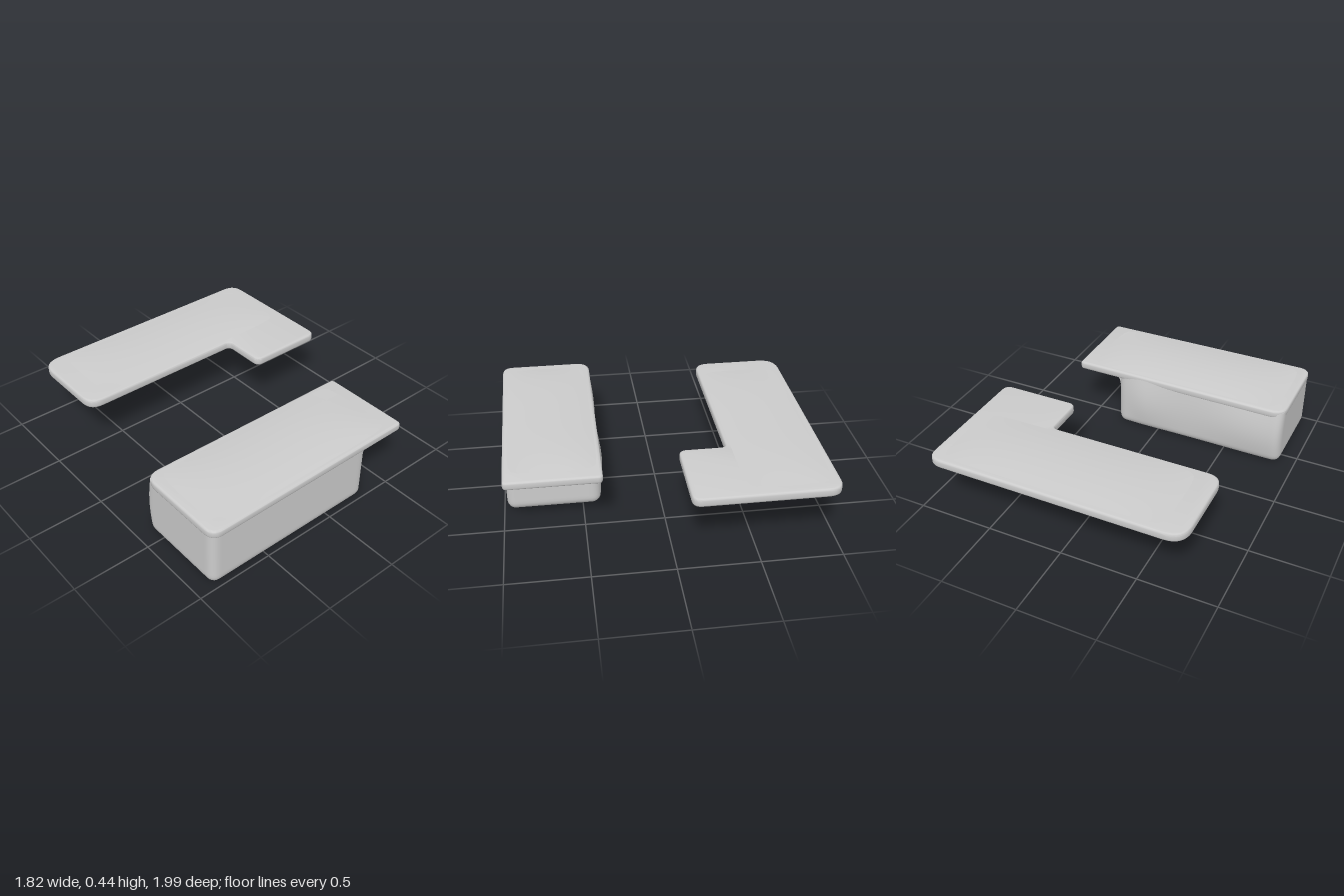
import * as THREE from 'three';
import { mergeVertices, toCreasedNormals } from 'three/addons/utils/BufferGeometryUtils.js';

const material = new THREE.MeshStandardMaterial({ color: 0xcccccc });

function addMesh(parent, geometry, name) {
  const mesh = new THREE.Mesh(geometry, material);
  mesh.name = name;
  parent.add(mesh);
}

// Closed outline from [x, y, cornerRadius] points
function roundedOutline(points) {
  const shape = new THREE.Shape();
  const n = points.length;
  points.forEach(([x, y, r], i) => {
    const p = new THREE.Vector2(x, y);
    const toward = ([tx, ty]) => new THREE.Vector2(tx, ty).sub(p).setLength(r).add(p);
    const a = toward(points[(i + n - 1) % n]);
    const b = toward(points[(i + 1) % n]);
    if (i === 0) shape.moveTo(a.x, a.y);
    else shape.lineTo(a.x, a.y);
    shape.quadraticCurveTo(x, y, b.x, b.y);
  });
  shape.closePath();
  return shape;
}

// Horizontal slab with softened edges; outline given as [x, z, cornerRadius]
function slab(points, bottom, top) {
  const bevel = 0.014;
  const geometry = new THREE.ExtrudeGeometry(roundedOutline(points.map(([x, z, r]) => [x, -z, r])), {
    depth: top - bottom - 2 * bevel, curveSegments: 8,
    bevelSize: bevel, bevelOffset: -bevel, bevelThickness: bevel, bevelSegments: 3,
  });
  geometry.rotateX(-Math.PI / 2).translate(0, bottom + bevel, 0);
  return toCreasedNormals(geometry, 0.7);
}

// Gentle swell lying on a slab
function crown(x0, x1, z0, z1, base, height) {
  const geometry = new THREE.PlaneGeometry(x1 - x0, z1 - z0, 32, 16).rotateX(-Math.PI / 2);
  const p = geometry.attributes.position;
  for (let i = 0; i < p.count; i++) {
    const u = (2 * p.getX(i)) / (x1 - x0);
    const v = (2 * p.getZ(i)) / (z1 - z0);
    p.setY(i, height * (1 - u ** 4) * (1 - v * v));
  }
  geometry.translate((x0 + x1) / 2, base, (z0 + z1) / 2);
  geometry.computeVertexNormals();
  return geometry;
}

// Block rounded below and at its upright edges, with a bulging back wall
function blockGeometry() {
  const min = new THREE.Vector3(-0.9, 0.01, 0.385);
  const max = new THREE.Vector3(0.3, 0.41, 0.98);
  const size = max.clone().sub(min);
  const r = 0.055;
  let geometry = new THREE.BoxGeometry(size.x, size.y, size.z, 60, 22, 32);
  geometry.translate(...min.clone().add(max).multiplyScalar(0.5).toArray());
  geometry.deleteAttribute('normal');
  geometry.deleteAttribute('uv');
  geometry = mergeVertices(geometry);
  const low = min.clone().addScalar(r);
  const high = max.clone().addScalar(-r).setY(max.y);
  const p = geometry.attributes.position;
  const v = new THREE.Vector3();
  const core = new THREE.Vector3();
  for (let i = 0; i < p.count; i++) {
    v.fromBufferAttribute(p, i);
    core.copy(v).clamp(low, high);
    const offset = v.clone().sub(core);
    if (offset.lengthSq() > 0) v.copy(core).add(offset.setLength(r));
    const back = THREE.MathUtils.clamp((0.6 - v.z) / 0.2, 0, 1);
    const wave = 0.75 + 0.25 * Math.cos((v.x + 0.72) * 6.5);
    v.z -= 0.032 * back * wave * Math.sin((Math.PI * v.y) / 0.43) * THREE.MathUtils.smoothstep(0.32 - v.x, 0, 0.25);
    p.setXYZ(i, v.x, v.y, v.z);
  }
  geometry.computeVertexNormals();
  return toCreasedNormals(geometry, 0.9);
}

// Concave strip between the block and its overhanging top
function filletGeometry() {
  const shape = new THREE.Shape();
  shape.moveTo(0.28, 0.4);
  shape.lineTo(0.28, 0.31);
  shape.lineTo(0.299, 0.31);
  shape.quadraticCurveTo(0.302, 0.38, 0.37, 0.382);
  shape.lineTo(0.37, 0.4);
  shape.closePath();
  const geometry = new THREE.ExtrudeGeometry(shape, { depth: 0.53, bevelEnabled: false, curveSegments: 10 });
  geometry.translate(0, 0, 0.42);
  return toCreasedNormals(geometry, 0.7);
}

export function createModel() {
  const model = new THREE.Group();
  model.name = 'counterSet';

  // Front counter: solid block under an overhanging top
  const counter = new THREE.Group();
  counter.name = 'frontCounter';
  addMesh(counter, blockGeometry(), 'counterBlock');
  addMesh(counter, filletGeometry(), 'overhangFillet');
  addMesh(counter, slab([
    [-0.905, 0.99, 0.08], [0.6, 0.98, 0.03], [0.6, 0.385, 0.03], [-0.905, 0.37, 0.1],
  ], 0.375, 0.428), 'counterTop');
  addMesh(counter, crown(-0.85, 0.52, 0.4, 0.96, 0.427, 0.022), 'counterTopSwell');
  model.add(counter);

  // Rear L-shaped top
  const rear = new THREE.Group();
  rear.name = 'rearTop';
  addMesh(rear, slab([
    [-0.78, -0.4, 0.1], [0.37, -0.4, 0.035], [0.37, -0.1, 0.05],
    [0.91, -0.1, 0.06], [0.91, -1, 0.1], [-0.78, -1, 0.13],
  ], 0.37, 0.427), 'lShapedSlab');
  addMesh(rear, crown(-0.65, 0.85, -0.97, -0.42, 0.426, 0.018), 'rearTopSwell');
  model.add(rear);

  return model;
}
